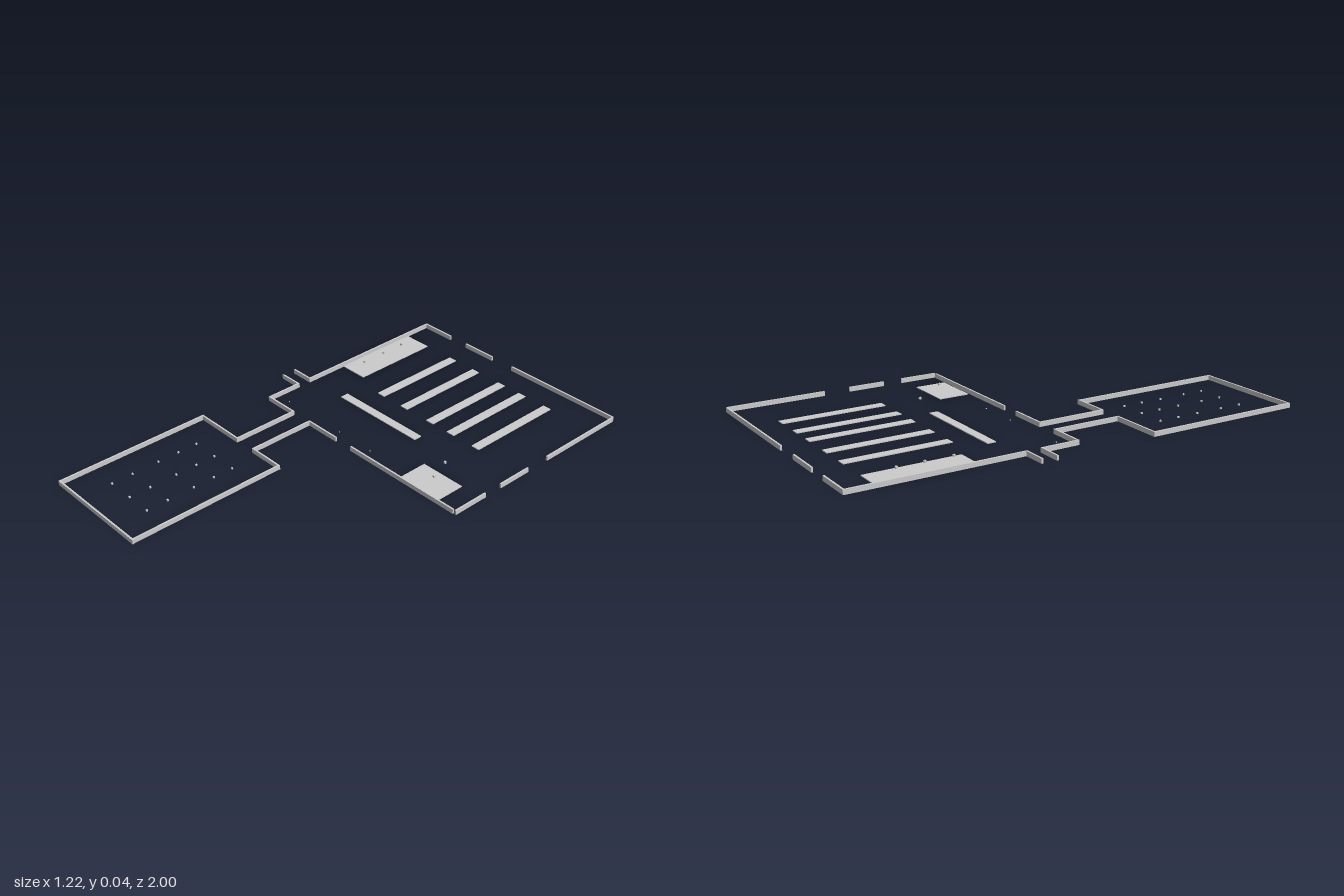
import * as THREE from 'three';

const WALL_H = 0.02, T = 0.008, SLAB_H = 0.004;

export function createModel() {
  const root = new THREE.Group();
  root.name = 'floorPlan';
  const material = new THREE.MeshStandardMaterial({ color: 0xcccccc, flatShading: true });

  const group = (name) => {
    const g = new THREE.Group();
    g.name = name;
    root.add(g);
    return g;
  };
  // Box given by its x range, z range, base and height
  const block = (parent, name, x0, x1, z0, z1, y0, h) => {
    const mesh = new THREE.Mesh(new THREE.BoxGeometry(x1 - x0, h, z1 - z0), material);
    mesh.position.set((x0 + x1) / 2, y0 + h / 2, (z0 + z1) / 2);
    mesh.name = name;
    parent.add(mesh);
  };
  // Walls running along x or along z
  const wallX = (g, z, ...spans) => spans.forEach(([a, b]) => block(g, 'wall', a, b, z - T / 2, z + T / 2, 0, WALL_H));
  const wallZ = (g, x, ...spans) => spans.forEach(([a, b]) => block(g, 'wall', x - T / 2, x + T / 2, a, b, 0, WALL_H));
  // Small cube marker
  const marker = (g, name, x, z, y, s) => block(g, name, x - s / 2, x + s / 2, z - s / 2, z + s / 2, y, s);

  // Main hall with door gaps
  const hall = group('mainHallWalls');
  wallX(hall, -0.996, [-0.513, -0.347], [-0.25, -0.085], [0.033, 0.605]);
  wallZ(hall, 0.605, [-0.992, -0.56], [-0.443, -0.278], [-0.19, -0.02]);
  wallX(hall, -0.02, [-0.513, -0.348], [-0.251, -0.077], [0.013, 0.595]);
  wallZ(hall, -0.51, [-0.992, -0.248], [-0.189, -0.024]);

  // Side entrance
  const entrance = group('sideEntranceWalls');
  for (const z of [-0.252, -0.185]) wallX(entrance, z, [-0.614, -0.51]);

  // Corridor joining the two rooms
  const corridor = group('corridorWalls');
  for (const x of [-0.352, -0.247]) wallZ(corridor, x, [-0.016, 0.283]);

  // Front room
  const room = group('frontRoomWalls');
  wallX(room, 0.287, [-0.591, -0.348], [-0.251, -0.079]);
  wallX(room, 0.996, [-0.591, -0.079]);
  for (const x of [-0.587, -0.085]) wallZ(room, x, [0.291, 0.992]);

  // Low furniture slabs
  const furniture = group('furniture');
  for (const x of [-0.213, -0.07, 0.086, 0.207, 0.349]) {
    block(furniture, 'shelf', x - 0.02, x + 0.02, -0.868, -0.409, 0, SLAB_H);
  }
  block(furniture, 'counter', -0.318, 0.138, -0.306, -0.267, 0, SLAB_H);
  block(furniture, 'longPlatform', -0.508, -0.375, -0.867, -0.453, 0, SLAB_H);
  block(furniture, 'cornerPlatform', 0.289, 0.498, -0.171, -0.033, 0, SLAB_H);

  // Raised markers over the platforms
  const raised = group('raisedMarkers');
  for (const z of [-0.756, -0.641, -0.521]) marker(raised, 'raisedMarker', -0.437, z, 0.026, 0.009);
  marker(raised, 'raisedMarker', 0.403, -0.11, 0.027, 0.009);

  // Markers on the hall floor
  const floor = group('floorMarkers');
  marker(floor, 'floorMarker', 0.34, -0.24, 0, 0.009);
  for (const x of [-0.443, -0.117, 0.07]) marker(floor, 'smallMarker', x, -0.075, 0, 0.004);

  // Grid of seats in the front room
  const seats = group('seats');
  for (const x of [-0.452, -0.33, -0.213]) {
    for (const z of [0.425, 0.517, 0.617, 0.744, 0.842]) marker(seats, 'seat', x, z, 0, 0.007);
  }
  return root;
}
